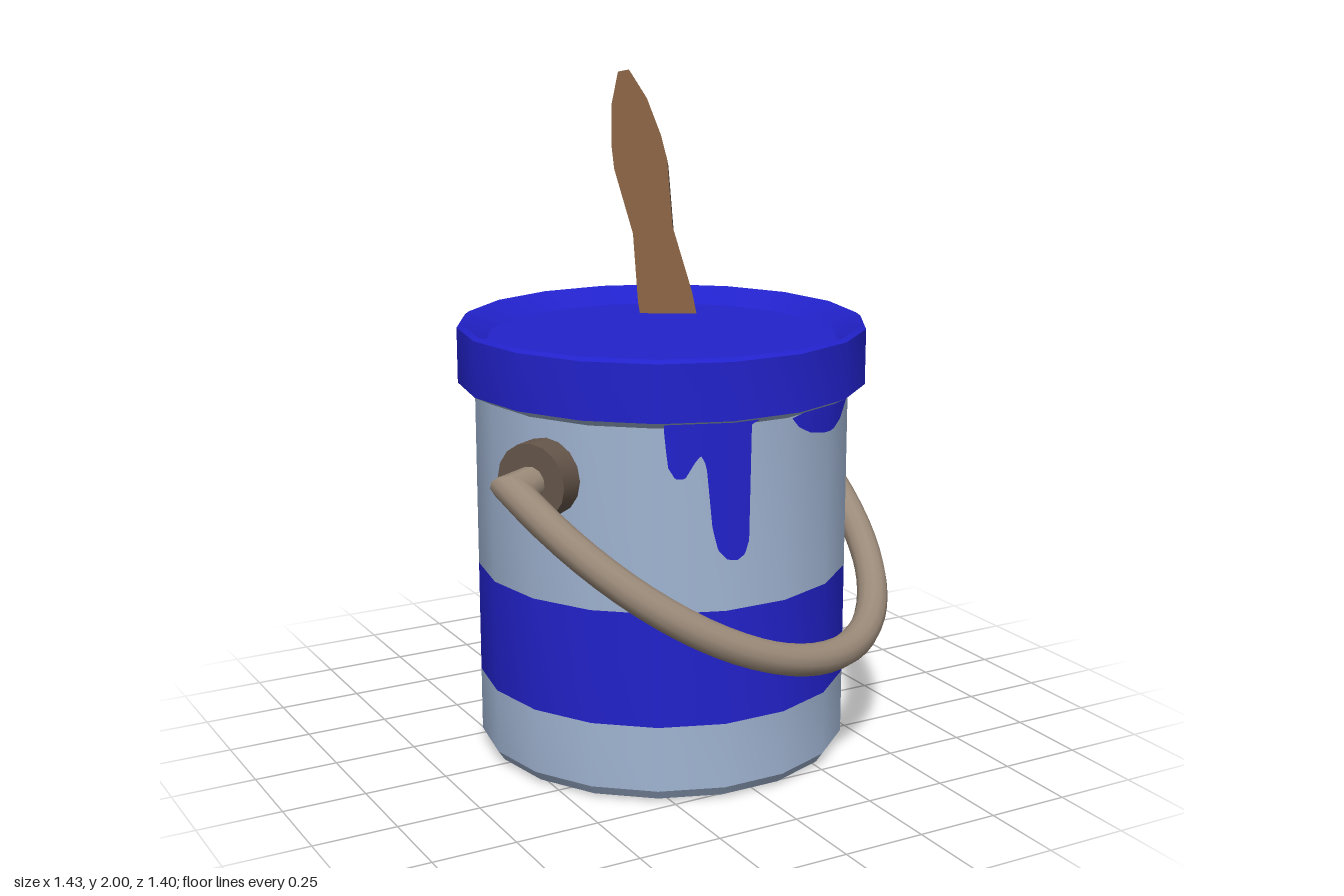
import * as THREE from 'three';
import { toCreasedNormals } from 'three/addons/utils/BufferGeometryUtils.js';

const SIDES = 18, R = 0.56, RIM = 0.61;
const V = (x, y, z) => new THREE.Vector3(x, y, z);

function material(name, color, side = THREE.FrontSide) {
  const m = new THREE.MeshStandardMaterial({ color, side });
  m.name = name;
  return m;
}

function add(parent, name, geometry, mat) {
  const mesh = new THREE.Mesh(geometry, mat);
  mesh.name = name;
  parent.add(mesh);
  return mesh;
}

// Faceted ring of the can; corners lie on the x axis
function turned(points) {
  const g = new THREE.LatheGeometry(points.map(p => new THREE.Vector2(...p)), SIDES);
  return toCreasedNormals(g.rotateY(Math.PI / 2), 0.5);
}

// Radius of the 18-sided outline at an angle measured from +x
function facetRadius(radius, angle) {
  const step = (2 * Math.PI) / SIDES;
  const a = ((angle % step) + step) % step - step / 2;
  return radius * Math.cos(step / 2) / Math.cos(a);
}

// Thin paint run hugging the can: columns from a lower edge up under the rim
function dripGeometry(edge, zSign) {
  const pos = [], norm = [], index = [], cols = 48;
  for (let i = 0; i <= cols; i++) {
    const x = THREE.MathUtils.lerp(edge[0][0], edge[edge.length - 1][0], i / cols);
    let k = 0;
    while (k < edge.length - 2 && x > edge[k + 1][0]) k++;
    const f = (x - edge[k][0]) / (edge[k + 1][0] - edge[k][0]);
    const low = Math.min(THREE.MathUtils.lerp(edge[k][1], edge[k + 1][1], f), 1.105);
    const angle = Math.acos(x / R);
    for (const [r, y] of [[R, low], [R, 1.106], [RIM - 0.004, 1.131]]) {
      const rr = facetRadius(r, angle) + 0.004;
      pos.push(rr * Math.cos(angle), y, zSign * rr * Math.sin(angle));
      norm.push(Math.cos(angle), 0, zSign * Math.sin(angle));
    }
  }
  for (let i = 0; i < cols; i++) for (let j = 0; j < 2; j++) {
    const a = i * 3 + j, b = a + 3;
    if (zSign > 0) index.push(a, b, a + 1, b, b + 1, a + 1);
    else index.push(a, a + 1, b, b, a + 1, b + 1);
  }
  const g = new THREE.BufferGeometry();
  g.setAttribute('position', new THREE.Float32BufferAttribute(pos, 3));
  g.setAttribute('normal', new THREE.Float32BufferAttribute(norm, 3));
  g.setIndex(index);
  return g;
}

// Round rod swept along a flat path with mitred corners
function sweptRod(path, radius, sides) {
  const pos = [], index = [];
  const normalOf = (p, q) => new THREE.Vector2(p.y - q.y, q.x - p.x).normalize();
  path.forEach((p, i) => {
    const n1 = normalOf(path[Math.max(i - 1, 0)], path[Math.max(i, 1)]);
    const last = path.length - 1;
    const n2 = normalOf(path[Math.min(i, last - 1)], path[Math.min(i + 1, last)]);
    const n = n1.clone().add(n2).divideScalar(1 + n1.dot(n2));
    for (let j = 0; j < sides; j++) {
      const a = (j / sides) * 2 * Math.PI, c = radius * Math.cos(a);
      pos.push(p.x + n.x * c, p.y + n.y * c, radius * Math.sin(a));
      if (i < last) {
        const q = i * sides + j, r = i * sides + (j + 1) % sides;
        index.push(q, r, q + sides, r, r + sides, q + sides);
      }
    }
  });
  const g = new THREE.BufferGeometry();
  g.setAttribute('position', new THREE.Float32BufferAttribute(pos, 3));
  g.setIndex(index);
  return g;
}

export function createModel() {
  const metal = material('pale metal', 0xa0b4d2);
  const paint = material('blue paint', 0x2222cc);
  const wood = material('brown wood', 0x7d5a3d);
  const darkWood = material('dark taupe', 0x66564a);
  const rod = material('light taupe', 0x9c8b7a);

  const model = new THREE.Group();
  model.name = 'paintBucket';

  // Can body, painted band, rim and paint surface
  const can = new THREE.Group();
  can.name = 'can';
  can.position.set(-0.015, 0, -0.007);
  model.add(can);
  add(can, 'lowerBody', turned([[0, 0], [0.5, 0], [0.54, 0.01], [R, 0.04], [R, 0.235]]), metal);
  add(can, 'paintedBand', turned([[R, 0.235], [R, 0.575]]), paint);
  add(can, 'upperBody', turned([[R, 0.575], [R, 1.11], [RIM, 1.135]]), metal);
  add(can, 'rim', turned([[RIM, 1.135], [RIM, 1.3], [0.597, 1.31], [0.585, 1.305],
    [0.54, 1.27], [0.525, 1.26]]), paint);
  add(can, 'paintSurface', turned([[0.525, 1.26], [0, 1.26]]), paint);

  // Paint runs, the same on front and back
  const longDrip = [[-0.265, 1.1], [-0.256, 1.0], [-0.237, 0.965], [-0.212, 0.965], [-0.186, 1.01],
    [-0.17, 1.03], [-0.155, 1.0], [-0.138, 0.82], [-0.122, 0.755], [-0.097, 0.727],
    [-0.065, 0.72], [-0.04, 0.735], [-0.025, 0.78], [-0.022, 1.1]];
  const shortDrip = [[0.115, 1.105], [0.145, 1.075], [0.195, 1.05], [0.255, 1.037],
    [0.315, 1.035], [0.365, 1.05], [0.4, 1.085], [0.415, 1.105]];
  for (const s of [1, -1]) {
    const end = s > 0 ? 'front' : 'back';
    add(can, end + 'LongDrip', dripGeometry(longDrip, s), paint);
    add(can, end + 'ShortDrip', dripGeometry(shortDrip, s), paint);
  }

  // Handle with a round lug at each end
  const handle = new THREE.Group();
  handle.name = 'handle';
  handle.position.set(-0.037, 0.945, -0.045);
  handle.rotation.y = Math.PI / 6;
  model.add(handle);
  for (const s of [1, -1]) {
    const lug = add(handle, s > 0 ? 'leftLug' : 'rightLug',
      toCreasedNormals(new THREE.CylinderGeometry(0.112, 0.112, 0.12, 16), 0.7), darkWood);
    lug.rotation.z = Math.PI / 2;
    lug.position.x = s * 0.57;
  }
  const drop = 0.555, reach = 0.68, length = Math.hypot(drop, reach);
  const path = [new THREE.Vector2(-0.6, 0)];
  for (let i = 0; i <= 40; i++) {
    const t = (i / 40) * Math.PI;
    path.push(new THREE.Vector2(-0.715 * Math.cos(t), length * Math.sin(t)));
  }
  path.push(new THREE.Vector2(0.6, 0));
  const across = V(1, 0, 0), down = V(0, -drop / length, reach / length);
  const bail = sweptRod(path, 0.047, 12);
  bail.applyMatrix4(new THREE.Matrix4().makeBasis(across, down, across.clone().cross(down)));
  add(handle, 'bail', toCreasedNormals(bail, 0.7), rod);

  // Leaning stir stick: waisted outline, half-widths along its length
  const outline = [[-0.2, 0.09], [0, 0.087], [0.22, 0.064], [0.44, 0.086],
    [0.52, 0.081], [0.65, 0.058], [0.755, 0.018]];
  const shape = new THREE.Shape([
    ...outline.map(([s, w]) => new THREE.Vector2(w, s)),
    ...outline.map(([s, w]) => new THREE.Vector2(-w, s)).reverse()]);
  const stick = new THREE.ExtrudeGeometry(shape, { depth: 0.085, bevelEnabled: false });
  stick.translate(0, 0, -0.085);
  const along = V(0.025, 0.91, -0.41).normalize();
  const wide = V(0.87, 0.21, 0.45).addScaledVector(along, -along.dot(V(0.87, 0.21, 0.45))).normalize();
  stick.applyMatrix4(new THREE.Matrix4()
    .makeBasis(wide, along, wide.clone().cross(along)).setPosition(0.17, 1.31, -0.32));
  add(model, 'stirStick', stick, [wood, darkWood]);

  return model;
}
